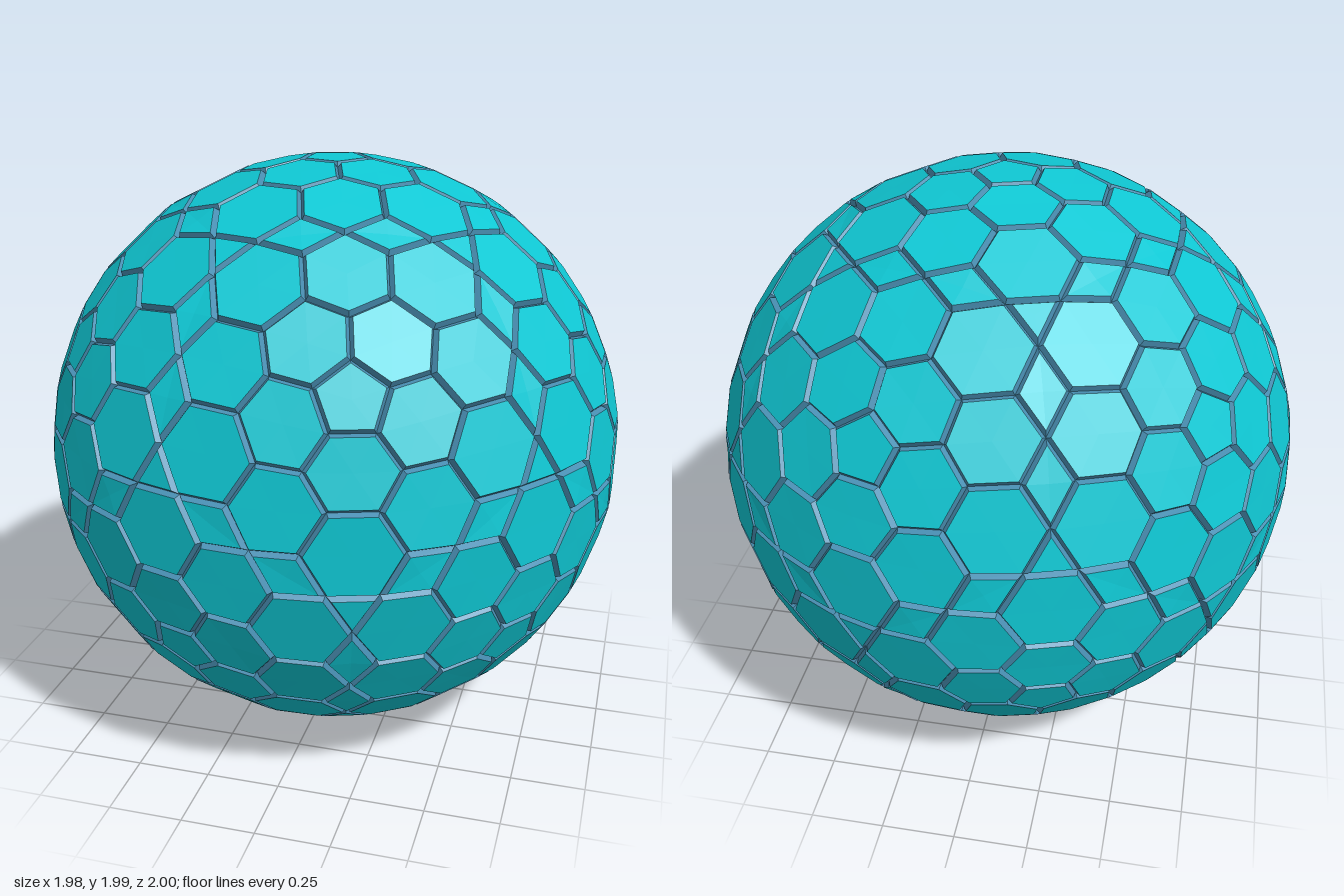
import * as THREE from 'three';

const INSET = 0.011; // half the seam width
const DEPTH = 0.02;  // seam depth

// Icosahedron corners: two poles and two staggered rings of five
function icoCorners() {
  const c = [new THREE.Vector3(0, 1, 0), new THREE.Vector3(0, -1, 0)];
  const h = 1 / Math.sqrt(5), r = 2 / Math.sqrt(5);
  for (let i = 0; i < 10; i++) {
    const a = i * Math.PI / 5;
    c.push(new THREE.Vector3(r * Math.cos(a), i % 2 ? -h : h, r * Math.sin(a)));
  }
  return c;
}

// Point of the eightfold grid on a face, pushed out to the unit sphere
function gridPoint(A, B, C, i, j, k) {
  return new THREE.Vector3().addScaledVector(A, i).addScaledVector(B, j).addScaledVector(C, k).normalize();
}

// Collect every tile as a list of points on the sphere
function makeTiles() {
  const V = icoCorners(), tiles = [];
  const near = (a, b) => a !== b && a.distanceTo(b) < 1.1;
  for (const A of V) {
    const ring = V.filter((b) => near(A, b));
    // pentagon on each corner
    tiles.push(ring.map((B) => gridPoint(A, B, B, 7, 1, 0)));
    for (const B of ring) {
      const [C, D] = ring.filter((c) => near(c, B));
      // hexagon lying across each edge
      tiles.push([
        gridPoint(A, B, C, 6, 2, 0), gridPoint(A, B, C, 4, 4, 0),
        gridPoint(A, B, C, 5, 2, 1), gridPoint(A, B, C, 4, 3, 1),
        gridPoint(A, B, D, 5, 2, 1), gridPoint(A, B, D, 4, 3, 1),
      ]);
    }
  }
  const steps = [[1, -1, 0], [1, 0, -1], [0, 1, -1], [-1, 1, 0], [-1, 0, 1], [0, -1, 1]];
  for (let a = 0; a < 12; a++) for (let b = a + 1; b < 12; b++) for (let c = b + 1; c < 12; c++) {
    const f = [V[a], V[b], V[c]];
    if (!near(f[0], f[1]) || !near(f[1], f[2]) || !near(f[0], f[2])) continue;
    const centre = [];
    for (let s = 0; s < 3; s++) {
      const A = f[s], B = f[(s + 1) % 3], C = f[(s + 2) % 3];
      // two hexagons towards each corner of the face
      for (const m of [[6, 1, 1], [4, 2, 2]]) {
        tiles.push(steps.map((d) => gridPoint(A, B, C, m[0] + d[0], m[1] + d[1], m[2] + d[2])));
      }
      // diamond between the face centre and the middle of the edge
      tiles.push([[3, 3, 2], [4, 3, 1], [4, 4, 0], [3, 4, 1]].map((m) => gridPoint(A, B, C, ...m)));
      centre.push(gridPoint(A, B, C, 3, 3, 2));
    }
    tiles.push(centre); // small triangle in the face centre
  }
  return tiles;
}

// Add one tile: a flat panel with sloping sides down into the seam
function addTile(points, panel, seam) {
  const mid = new THREE.Vector3();
  points.forEach((p) => mid.addScaledVector(p, 1 / points.length));
  const normal = mid.clone().normalize();
  const u = points[0].clone().sub(mid).projectOnPlane(normal).normalize();
  const v = normal.clone().cross(u);
  const angle = (p) => {
    const d = p.clone().sub(mid);
    return Math.atan2(d.dot(v), d.dot(u));
  };
  const loop = points.slice().sort((a, b) => angle(a) - angle(b));
  const n = loop.length;
  const inward = loop.map((p, i) =>
    normal.clone().cross(loop[(i + 1) % n].clone().sub(p)).normalize());
  const top = loop.map((p, i) => {
    const n1 = inward[(i + n - 1) % n], n2 = inward[i];
    return p.clone().addScaledVector(n1.clone().add(n2), INSET / (1 + n1.dot(n2)));
  });
  const low = loop.map((p) => p.clone().multiplyScalar(1 - DEPTH));
  const push = (list, ...pts) => pts.forEach((p) => list.push(p.x, p.y, p.z));
  for (let i = 0; i < n; i++) {
    const j = (i + 1) % n;
    push(panel, mid, top[i], top[j]);
    push(seam, low[i], low[j], top[j], low[i], top[j], top[i]);
  }
}

function meshFrom(list, material, name) {
  const g = new THREE.BufferGeometry();
  g.setAttribute('position', new THREE.Float32BufferAttribute(list, 3));
  g.computeVertexNormals();
  const mesh = new THREE.Mesh(g, material);
  mesh.name = name;
  mesh.position.y = 1;
  return mesh;
}

export function createModel() {
  const teal = new THREE.MeshStandardMaterial({ color: 0x0fc8d4 });
  teal.name = 'teal';
  const steelBlue = new THREE.MeshStandardMaterial({ color: 0x4a90b4 });
  steelBlue.name = 'steelBlue';

  const panel = [], seam = [];
  makeTiles().forEach((t) => addTile(t, panel, seam));

  const group = new THREE.Group();
  group.name = 'tiledSphere';
  group.add(meshFrom(panel, teal, 'panels'), meshFrom(seam, steelBlue, 'seams'));
  return group;
}
